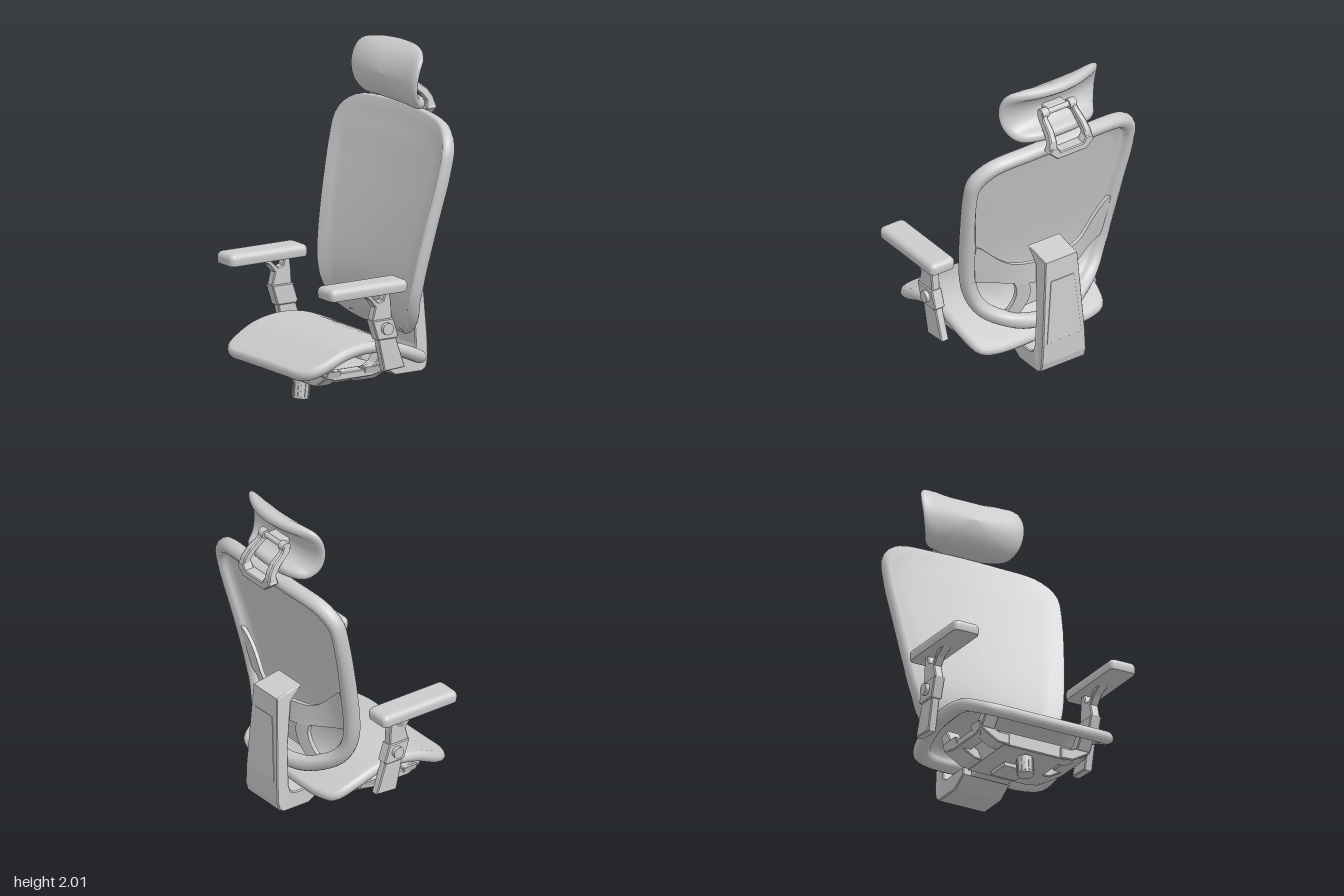
import * as THREE from 'three';
import { RoundedBoxGeometry } from 'three/addons/geometries/RoundedBoxGeometry.js';

const material = new THREE.MeshStandardMaterial({ color: 0xcccccc, side: THREE.DoubleSide });
const { lerp, smoothstep } = THREE.MathUtils;
const v2 = (p) => new THREE.Vector2(p[0], p[1]);

function add(parent, name, geometry, x = 0, y = 0, z = 0) {
  const mesh = new THREE.Mesh(geometry, material);
  mesh.name = name;
  mesh.position.set(x, y, z);
  parent.add(mesh);
  return mesh;
}

// Move every vertex by a rule
function warp(geometry, rule) {
  const pos = geometry.attributes.position, v = new THREE.Vector3();
  for (let i = 0; i < pos.count; i++) {
    v.fromBufferAttribute(pos, i);
    rule(v);
    pos.setXYZ(i, v.x, v.y, v.z);
  }
  geometry.computeVertexNormals();
  return geometry;
}

// Extrude a side outline in (x, y), centred on z = 0
function slab(points, depth, bevel = 0.006) {
  const geometry = new THREE.ExtrudeGeometry(new THREE.Shape(points.map(v2)), {
    depth: depth - 2 * bevel, bevelThickness: bevel, bevelSize: bevel, bevelOffset: -bevel, bevelSegments: 1,
  });
  return geometry.translate(0, 0, bevel - depth / 2);
}

// Extrude a cross outline in (z, y) along x, from x0 to x1
function crossSlab(points, x0, x1, bevel = 0.006) {
  const g = slab(points.map(([z, y]) => [-z, y]), x1 - x0, bevel);
  return g.rotateY(Math.PI / 2).translate((x0 + x1) / 2, 0, 0);
}

// Panel curved along a side profile. half: [half width, distance along profile];
// rings: [scale, inset, height above profile] from the front centre round to the rear centre.
function curvedPanel(profile, half, rings, bend) {
  const curve = new THREE.CatmullRomCurve3(profile.map(([x, y]) => new THREE.Vector3(x, y, 0)));
  const length = curve.getLength(), n = 96;
  const mirrored = half.slice(1, -1).reverse().map(([w, s]) => [-w, s]);
  const outline = new THREE.CatmullRomCurve3(
    [...half, ...mirrored].map(([w, s]) => new THREE.Vector3(w, s, 0)), true, 'centripetal').getSpacedPoints(n);
  const centre = length / 2, verts = [], index = [], v = new THREE.Vector3();
  rings.forEach(([k, inset, h], i) => {
    for (let j = 0; j < n; j++) {
      const dz = outline[j].x, ds = outline[j].y - centre;
      const f = k * (1 - inset / Math.hypot(dz, ds));
      const u = THREE.MathUtils.clamp((centre + ds * f) / length, 0, 1);
      const p = curve.getPointAt(u), t = curve.getTangentAt(u);
      v.set(p.x - t.y * h, p.y + t.x * h, dz * f);
      if (bend) bend(v);
      verts.push(v.x, v.y, v.z);
      if (i < rings.length - 1) {
        const a = i * n + j, b = i * n + (j + 1) % n;
        index.push(a, a + n, b + n, a, b + n, b);
      }
    }
  });
  const geometry = new THREE.BufferGeometry();
  geometry.setAttribute('position', new THREE.Float32BufferAttribute(verts, 3));
  geometry.setIndex(index);
  geometry.computeVertexNormals();
  return geometry;
}

// Rings of a rounded rim carrying a thin membrane
function rimRings(r, width, dish) {
  const steps = [0, 0.15, 0.3, 0.45, 0.6, 0.75, 0.88, 1];
  const front = steps.map((k) => [k, width, dish]);
  const round = [];
  for (let a = 70; a >= -80; a -= 25) {
    const q = THREE.MathUtils.degToRad(a);
    round.push([1, width * 0.45 * (1 - Math.cos(q)), r * Math.sin(q)]);
  }
  const rear = [[1, width * 0.75, -r * 0.9], [1, width, -r * 0.4], [1, width * 1.05, dish - 0.012]];
  const inside = steps.slice(0, -1).reverse().map((k) => [k, width * 1.05, dish - 0.012]);
  return [...front, ...round, ...rear, ...inside];
}

export function createModel() {
  const chair = new THREE.Group();
  chair.name = 'officeChair';

  // Seat: arched rim with membrane
  add(chair, 'seat', curvedPanel(
    [[-0.55, 0.228], [-0.43, 0.285], [-0.3, 0.345], [-0.15, 0.372], [0, 0.36], [0.15, 0.31], [0.33, 0.225]],
    [[0, 0], [0.2, 0], [0.36, 0.005], [0.43, 0.05], [0.465, 0.15], [0.475, 0.45], [0.47, 0.75], [0.43, 0.88], [0.33, 0.92], [0, 0.925]],
    rimRings(0.038, 0.1, 0.032)));

  // Backrest
  add(chair, 'backrest', curvedPanel(
    [[0.37, 0.36], [0.295, 0.395], [0.23, 0.47], [0.197, 0.58], [0.205, 0.72], [0.26, 1], [0.333, 1.3], [0.39, 1.53], [0.435, 1.64]],
    [[0, 0], [0.15, 0.02], [0.3, 0.09], [0.42, 0.19], [0.495, 0.35], [0.53, 0.53], [0.565, 0.83], [0.585, 1.1],
      [0.57, 1.25], [0.46, 1.35], [0.2, 1.39], [0, 1.4]],
    rimRings(0.047, 0.09, 0.027),
    (v) => { v.x += 0.014 - 0.034 * (v.z / 0.55) ** 2; })).position.z = -0.012;

  // Headrest: a solid curled pad
  const padFace = [[0, 0, 0.035], [0.2, 0, 0.035], [0.4, 0, 0.035], [0.6, 0, 0.035], [0.8, 0, 0.034], [0.9, 0, 0.031], [0.96, 0, 0.023], [0.99, 0, 0.012]];
  add(chair, 'headrest', curvedPanel(
    [[0.46, 1.685], [0.38, 1.695], [0.325, 1.745], [0.305, 1.82], [0.33, 1.9], [0.385, 1.96], [0.47, 1.988]],
    [[0, 0], [0.18, 0], [0.25, 0.02], [0.3, 0.11], [0.328, 0.2], [0.337, 0.32], [0.31, 0.41], [0.22, 0.46], [0, 0.485]],
    [...padFace, [1, 0, 0], ...padFace.map(([k, i, h]) => [k, i, -1.1 * h]).reverse()],
    (v) => { v.x = 0.27 + (v.x - 0.27) * (1 - 0.4 * (v.z / 0.34) ** 2); })).position.z = -0.024;

  // Headrest bracket
  const bracket = new THREE.Group();
  bracket.name = 'headrestBracket';
  bracket.position.z = -0.022;
  chair.add(bracket);
  add(bracket, 'bracketBase', crossSlab(
    [[-0.14, 1.66], [-0.155, 1.63], [-0.1, 1.58], [0.1, 1.58], [0.155, 1.63], [0.14, 1.66], [0.1, 1.66], [0.08, 1.625], [-0.08, 1.625], [-0.1, 1.66]],
    0.485, 0.55));
  add(bracket, 'bracketNeck', new THREE.BoxGeometry(0.09, 0.04, 0.2), 0.47, 1.602, 0);
  add(bracket, 'pivotBar', new THREE.CylinderGeometry(0.018, 0.018, 0.2, 20).rotateX(Math.PI / 2), 0.4, 1.815, 0);
  add(bracket, 'pivotMount', new RoundedBoxGeometry(0.07, 0.05, 0.13, 2, 0.01), 0.365, 1.815, 0);
  for (const side of [-1, 1]) {
    add(bracket, 'bracketArm', warp(slab(
      [[0.375, 1.835], [0.41, 1.84], [0.44, 1.79], [0.5, 1.745], [0.535, 1.695], [0.55, 1.63], [0.485, 1.63], [0.49, 1.675], [0.46, 1.715], [0.4, 1.765], [0.375, 1.79]],
      0.034), (v) => {
      const drop = 1.83 - v.y;
      v.z = v.z * (1 + 2.5 * drop) + side * (0.1 + 0.13 * drop);
    }));
    add(bracket, 'pivotCap', new THREE.CylinderGeometry(0.03, 0.03, 0.045, 20).rotateX(Math.PI / 2), 0.4, 1.815, side * 0.095);
  }

  // Spine post with its foot, widening downwards
  const spine = add(chair, 'spinePost', warp(slab(
    [[0.28, 0.86], [0.459, 0.83], [0.465, 0.7], [0.483, 0.3], [0.483, 0.17], [0.47, 0.12], [0.44, 0.1], [0.26, 0.1], [0.165, 0.16],
      [0.165, 0.205], [0.36, 0.205], [0.39, 0.22], [0.4, 0.26], [0.395, 0.5], [0.36, 0.78]],
    0.3), (v) => { v.z *= 0.73 + 0.3 * Math.min(1, (0.86 - v.y) / 0.66); }));
  spine.position.z = -0.012;
  add(chair, 'spineCover', warp(crossSlab([[-0.08, 0.7], [0.08, 0.7], [0.12, 0.3], [-0.12, 0.3]], 0, 0.01, 0.001),
    (v) => { v.x += 0.458 + 0.018 * (0.7 - v.y) / 0.4; }), 0, 0, -0.012);

  // Lumbar wings from the spine to the backrest rim, with curved lower struts
  const wingX = (z, y) => lerp(0.35, 0.205 + 0.21 * Math.max(0, y - 0.68), smoothstep(z, 0.06, 0.47));
  for (const side of [-1, 1]) {
    add(chair, 'lumbarWing', warp(new THREE.BoxGeometry(1, 1, 0.025, 24, 8, 1), (v) => {
      const t = v.x + 0.5, z = lerp(0.06, 0.47, t);
      const y = lerp(0.65 + 0.06 * t * t, 0.79 + 0.2 * smoothstep(t, 0.3, 1.1) ** 1.3, v.y + 0.5);
      v.set(wingX(z, y) + v.z, y, side * z);
    }), 0, 0, -0.012);
    add(chair, 'lumbarStrut', warp(new THREE.BoxGeometry(1, 1, 0.025, 4, 16, 1), (v) => {
      const t = v.y + 0.5, y = lerp(0.41, 0.68, t);
      const z = 0.15 + 0.09 * (1 - t) ** 2 + 0.05 * t ** 4 + v.x * 0.075;
      v.set(wingX(z, y) - 0.03 * (1 - t) + v.z, y, side * z);
    }), 0, 0, -0.012);
  }

  // Lumbar pad between the wings
  add(chair, 'lumbarPad', warp(new RoundedBoxGeometry(0.03, 0.24, 0.32, 6, 0.014),
    (v) => { v.x += 0.285 - 0.5 * v.z * v.z + 0.8 * v.y * v.y; v.y += 0.59; }), 0, 0, -0.012);

  // Armrests
  for (const side of [-1, 1]) {
    const arm = new THREE.Group();
    arm.name = side > 0 ? 'leftArmrest' : 'rightArmrest';
    arm.position.z = side * 0.518;
    chair.add(arm);
    // Pad: rounded on top, nearly square below
    add(arm, 'armPad', warp(new RoundedBoxGeometry(0.53, 0.07, 0.172, 5, 0.034),
      (v) => { if (v.y < 0) v.y = Math.max(-0.035, v.y * 2); }), -0.215, 0.747, 0);
    add(arm, 'armFork', slab(
      [[-0.25, 0.715], [-0.18, 0.675], [-0.145, 0.63], [-0.165, 0.55], [-0.03, 0.55], [-0.035, 0.64], [-0.045, 0.715],
        [-0.075, 0.715], [-0.09, 0.665], [-0.12, 0.655], [-0.15, 0.68], [-0.18, 0.715]], 0.055));
    add(arm, 'armSleeve', slab([[-0.168, 0.555], [-0.025, 0.555], [0.01, 0.45], [-0.005, 0.435], [-0.13, 0.435]], 0.07));
    add(arm, 'armPost', slab([[-0.125, 0.45], [-0.005, 0.45], [0.06, 0.255], [-0.08, 0.245]], 0.052));
    add(arm, 'armKnob', new THREE.CylinderGeometry(0.035, 0.035, 0.03, 28).rotateX(Math.PI / 2), -0.075, 0.5, side * 0.043);
  }

  // Mechanism under the seat
  const mechanism = new THREE.Group();
  mechanism.name = 'tiltMechanism';
  chair.add(mechanism);
  add(mechanism, 'mechanismTray', crossSlab([[-0.24, 0.215], [-0.2, 0.13], [0.2, 0.13], [0.24, 0.215]], -0.35, 0.06));
  add(mechanism, 'rearJoint', new RoundedBoxGeometry(0.11, 0.1, 0.24, 2, 0.008), 0.1, 0.2, 0);
  add(mechanism, 'bottomPlate', new THREE.BoxGeometry(0.15, 0.025, 0.16), -0.075, 0.12, 0);
  for (const side of [-1, 1]) {
    // Brackets rising from the tray to the seat rim
    const wing = [[0.17, 0.13], [0.25, 0.135], [0.36, 0.2], [0.375, 0.24], [0.32, 0.24], [0.24, 0.2], [0.17, 0.2]];
    for (const [x0, x1] of [[-0.36, -0.26], [-0.1, 0.05]])
      add(mechanism, 'sideBracket', crossSlab(wing.map(([z, y]) => [side * z, y]), x0, x1));
    add(mechanism, 'seatRail', slab(
      [[-0.42, 0.28], [-0.37, 0.21], [-0.3, 0.18], [-0.05, 0.18], [0.05, 0.2], [0.09, 0.31], [0.03, 0.33],
        [-0.02, 0.25], [-0.07, 0.225], [-0.27, 0.225], [-0.32, 0.25], [-0.36, 0.3]], 0.09), 0, 0, side * 0.315);
  }

  // Gripped knob under the front
  const knob = new THREE.Group();
  knob.name = 'tensionKnob';
  knob.position.set(-0.278, 0.06, -0.02);
  knob.rotation.z = -0.1;
  chair.add(knob);
  add(knob, 'knobBody', new THREE.CylinderGeometry(0.05, 0.047, 0.105, 24));
  add(knob, 'knobStem', new THREE.CylinderGeometry(0.03, 0.03, 0.1, 20), 0, 0.06, 0);
  for (let i = 0; i < 12; i++) {
    const a = (i / 12) * Math.PI * 2;
    add(knob, 'knobRib', new THREE.BoxGeometry(0.008, 0.085, 0.01), 0.048 * Math.cos(a), 0, 0.048 * Math.sin(a)).rotation.y = -a;
  }
  return chair;
}
